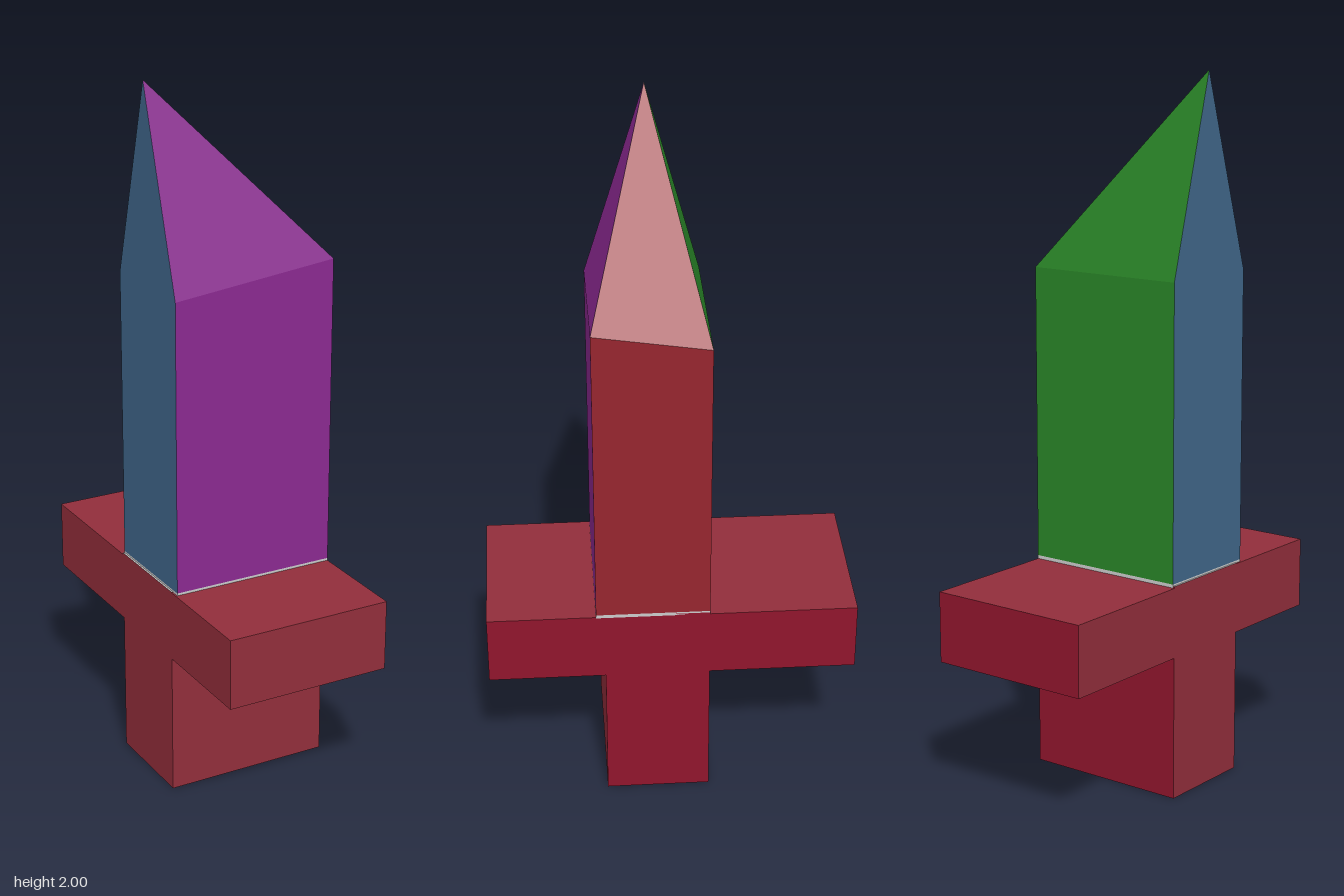
import * as THREE from 'three';

const mat = (color) => new THREE.MeshStandardMaterial({ color });
const grey = mat(0xcccccc);
const warmRed = mat(0x922e3b);
const crimson = mat(0x90152d);

// Box given by its limits; materials run +x, -x, +y, -y, +z, -z
function block(name, [x0, x1], [y0, y1], [z0, z1], materials) {
  const mesh = new THREE.Mesh(new THREE.BoxGeometry(x1 - x0, y1 - y0, z1 - z0), materials);
  mesh.position.set((x0 + x1) / 2, (y0 + y1) / 2, (z0 + z1) / 2);
  mesh.name = name;
  return mesh;
}

// Four upright sides that slope to one off-centre tip
function createBlade() {
  const blade = new THREE.Group();
  blade.name = 'blade';
  const base = 0.62;
  const tip = [-0.25, 2, 0.045];
  const corners = [
    [-0.25, 1.45, 0.215],
    [0.23, 1.5, 0.215],
    [0.23, 1.45, -0.105],
    [-0.25, 1.45, -0.105],
  ];
  const sides = [
    ['bladeFront', 0x8b2991],
    ['bladeRight', 0x96252f],
    ['bladeBack', 0x298427],
    ['bladeLeft', 0x40678b],
  ];
  sides.forEach(([name, color], i) => {
    const a = corners[i];
    const b = corners[(i + 1) % 4];
    const a0 = [a[0], base, a[2]];
    const b0 = [b[0], base, b[2]];
    const points = [a0, b0, b, a0, b, a, a, b, tip].flat();
    const geometry = new THREE.BufferGeometry();
    geometry.setAttribute('position', new THREE.Float32BufferAttribute(points, 3));
    geometry.computeVertexNormals();
    const mesh = new THREE.Mesh(geometry, mat(color));
    mesh.name = name;
    blade.add(mesh);
  });
  // Thin grey seam where the blade meets the guard
  blade.add(block('bladeSeam', [-0.25, 0.23], [0.61, base], [-0.105, 0.215], grey));
  return blade;
}

export function createModel() {
  const model = new THREE.Group();
  model.name = 'dagger';
  const width = [-0.255, 0.23];
  const red = [crimson, warmRed, warmRed, grey, warmRed, crimson];

  // Grip, with a grey top under the blade
  const gripMaterials = [crimson, warmRed, grey, grey, warmRed, crimson];
  model.add(block('grip', width, [0, 0.615], [-0.105, 0.19], gripMaterials));

  // Cross guard arms
  model.add(block('frontGuardArm', width, [0.41, 0.613], [0.19, 0.52], red));
  model.add(block('backGuardArm', width, [0.41, 0.61], [-0.52, -0.105], red));

  model.add(createBlade());
  return model;
}
